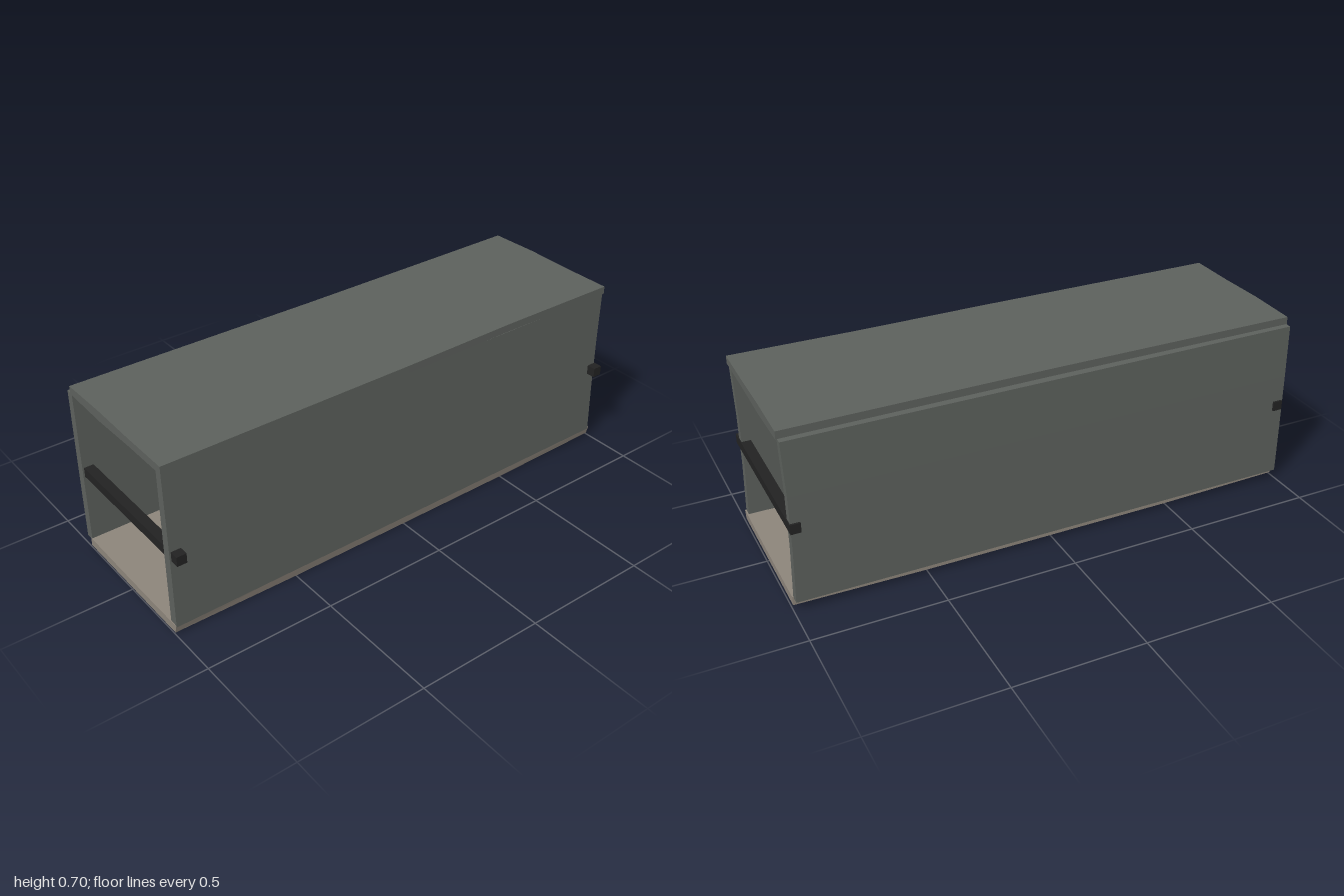
import * as THREE from 'three';

export function createModel() {
  const group = new THREE.Group();
  group.name = 'boxFrame';
  const stone = new THREE.MeshStandardMaterial({ color: 0x5c605c, flatShading: true });
  stone.name = 'grey green board';
  const wood = new THREE.MeshStandardMaterial({ color: 0x8c847a, flatShading: true });
  wood.name = 'worn floor board';
  const iron = new THREE.MeshStandardMaterial({ color: 0x222222, flatShading: true });
  iron.name = 'black iron';

  // A board between two corners, its vertices shifted by a warp rule
  function board(name, material, min, max, segments, warp) {
    const size = max.map((v, i) => v - min[i]);
    const geometry = new THREE.BoxGeometry(...size, ...segments);
    geometry.translate(...min.map((v, i) => (v + max[i]) / 2));
    const p = geometry.attributes.position;
    const v = new THREE.Vector3();
    for (let i = 0; warp && i < p.count; i++) {
      v.fromBufferAttribute(p, i);
      warp(v);
      p.setXYZ(i, v.x, v.y, v.z);
    }
    geometry.computeVertexNormals();
    const mesh = new THREE.Mesh(geometry, material);
    mesh.name = name;
    group.add(mesh);
  }

  // Lid, slightly crowned behind its middle and bowed along the edges
  board('topBoard', stone, [-1, 0.665, -0.3], [0.995, 0.696, 0.302], [4, 1, 3], (v) => {
    if (v.y > 0.68) v.y += Math.abs(v.z + 0.1) < 0.02 ? 0.004 : 0;
    else v.y -= Math.abs(v.z + 0.1) < 0.02 ? 0.006 : 0;
    if (v.z > 0.25) v.z -= 0.006 * Math.max(0, Math.sin(v.x * 3));
    if (v.z < -0.25) v.z += 0.003 * Math.cos(v.x * 3);
  });

  // Floor, with a bevelled front lower edge
  board('bottomBoard', wood, [-1, 0.004, -0.302], [0.995, 0.042, 0.303], [4, 1, 3], (v) => {
    if (v.y < 0.02) {
      if (v.z > 0.25) v.z -= 0.009;
      v.y += Math.abs(v.x) > 0.9 ? 0.004 : -0.004;
    } else if (Math.abs(v.z) < 0.15) v.y -= 0.002;
  });

  // Front wall, leaning in a little at the top
  board('frontBoard', stone, [-0.998, 0.036, 0.268], [0.99, 0.666, 0.303], [4, 3, 1], (v) => {
    if (v.z > 0.29) v.z -= 0.005 * Math.max(0, (v.y - 0.35) / 0.31);
    if (v.x > 0.9 && v.y > 0.2 && v.y < 0.5) v.x -= 0.006;
  });

  // Back wall, set just outside the lid and floor
  board('backBoard', stone, [-0.998, 0.036, -0.331], [0.99, 0.667, -0.296], [4, 3, 1], (v) => {
    if (v.z < -0.31) v.z += 0.004 * Math.max(0, (v.y - 0.35) / 0.31);
    if (v.x > 0.9 && v.y > 0.2 && v.y < 0.5) v.x -= 0.006;
  });

  // Cross bars through both walls at the open ends
  for (const [name, x] of [['rightCrossBar', -0.973], ['leftCrossBar', 0.968]]) {
    board(name, iron, [x - 0.019, 0.318, -0.338], [x + 0.019, 0.356, 0.338], [1, 1, 1]);
  }
  return group;
}
